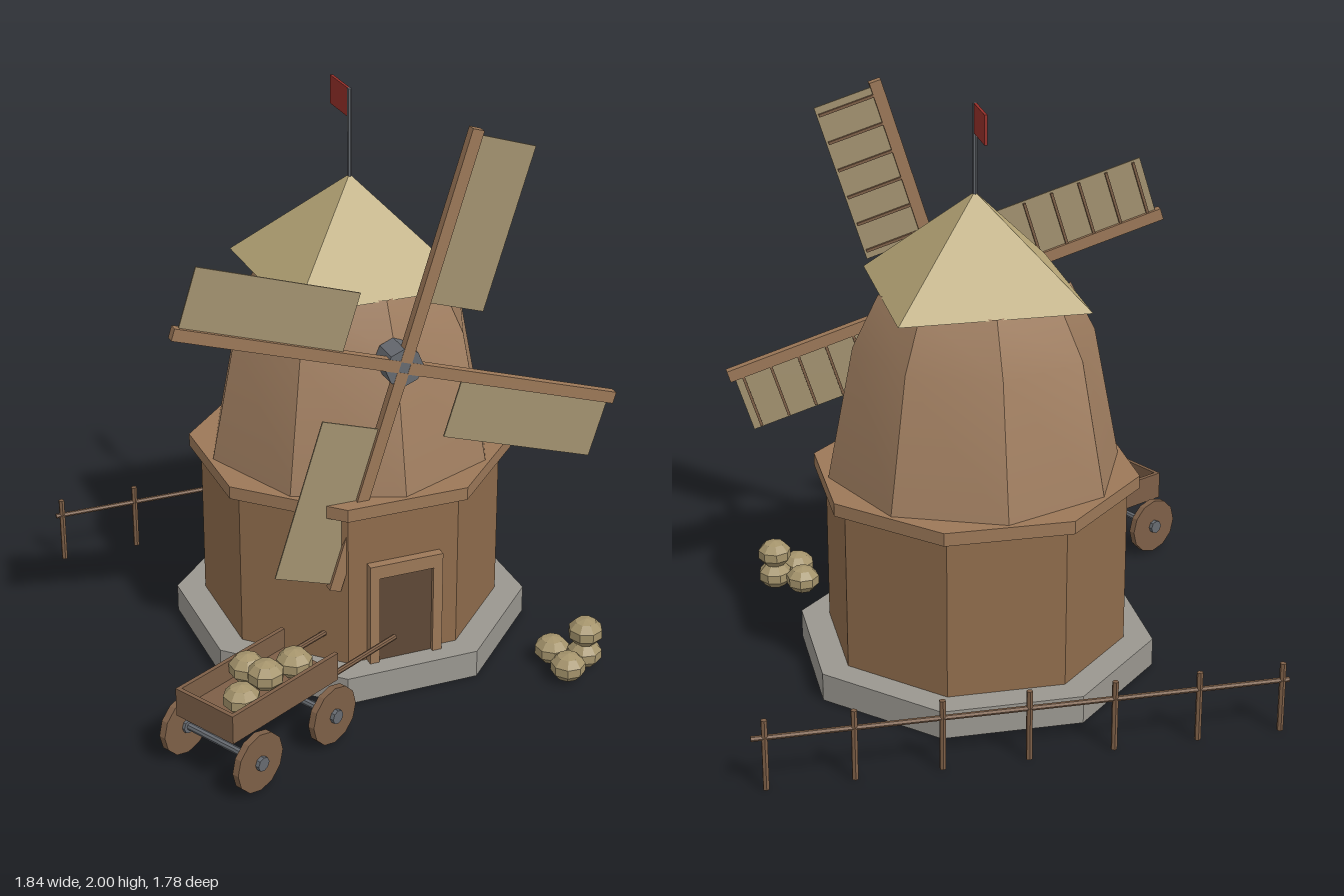
import * as THREE from 'three';
import { toCreasedNormals } from 'three/addons/utils/BufferGeometryUtils.js';

const paint = (color, extra = {}) => new THREE.MeshStandardMaterial({ color, flatShading: true, ...extra });
const MAT = {
  stone: paint(0x9a9790), wall: paint(0x8f6c4c), trim: paint(0x9c7858), wood: paint(0x7d5f47),
  darkWood: paint(0x5e4836), tower: paint(0xa07e60, { flatShading: false }), thatch: paint(0xb9a878),
  cloth: paint(0xa39270), sack: paint(0xa5946c), metal: paint(0x666a70), red: paint(0x96302a),
};

function add(parent, name, geometry, mat, x = 0, y = 0, z = 0) {
  const mesh = new THREE.Mesh(geometry, mat);
  mesh.name = name;
  mesh.position.set(x, y, z);
  parent.add(mesh);
  return mesh;
}

function group(parent, name, x = 0, y = 0, z = 0) {
  const g = new THREE.Group();
  g.name = name;
  g.position.set(x, y, z);
  parent.add(g);
  return g;
}

const box = (w, h, d) => new THREE.BoxGeometry(w, h, d);
const rod = (r, length, sides = 8) => new THREE.CylinderGeometry(r, r, length, sides);

// Octagonal slab with flat sides facing the axes, sized by half its width
const octagon = (half, height) => rod(half / Math.cos(Math.PI / 8), height).rotateY(Math.PI / 8);

function addSack(parent, x, y, z, turn) {
  const sack = add(parent, 'sack', new THREE.SphereGeometry(0.064, 8, 5), MAT.sack, x, y, z);
  sack.scale.y = 0.8;
  sack.rotation.y = turn;
}

function buildMill(root) {
  const mill = group(root, 'mill', 0.02, 0, -0.115);
  add(mill, 'stoneBase', octagon(0.585, 0.1), MAT.stone, 0, 0.05, 0);
  add(mill, 'lowerWall', octagon(0.49, 0.58), MAT.wall, 0, 0.39, 0);
  add(mill, 'ledge', octagon(0.528, 0.046), MAT.trim, 0, 0.697, 0);

  // Tapered upper tower, corners on the axes
  const profile = [[0.512, 0.72], [0.42, 1.185], [0.33, 1.365]].map(([r, y]) => new THREE.Vector2(r, y));
  add(mill, 'upperTower', toCreasedNormals(new THREE.LatheGeometry(profile, 8), 0.5), MAT.tower);

  // Square pyramid roof
  const roof = new THREE.ConeGeometry(0.323 * Math.SQRT2, 0.34, 4).rotateY(Math.PI / 4);
  add(mill, 'roof', roof, MAT.thatch, 0, 1.53, 0);
  add(mill, 'flagPole', rod(0.008, 0.32), MAT.metal, 0, 1.84, 0);
  add(mill, 'flag', box(0.01, 0.1, 0.16), MAT.red, 0, 1.95, -0.083);

  // Door set in a raised frame
  const door = group(mill, 'doorway', 0, 0, 0.49);
  add(door, 'door', box(0.2, 0.33, 0.03), MAT.darkWood, 0, 0.265, 0.003);
  for (const side of [-1, 1]) add(door, 'doorJamb', box(0.035, 0.38, 0.06), MAT.trim, side * 0.117, 0.29, 0.003);
  add(door, 'doorLintel', box(0.2, 0.05, 0.06), MAT.trim, 0, 0.455, 0.003);
}

function buildSails(root) {
  const rotor = group(root, 'sailRotor', 0.02, 1.185, 0.355);
  rotor.rotation.z = -0.305;
  add(rotor, 'hub', rod(0.068, 0.1).rotateX(Math.PI / 2), MAT.metal, 0, 0, -0.035).rotation.z = 0.305;

  for (let i = 0; i < 4; i++) {
    const blade = group(rotor, 'blade');
    blade.rotation.z = i * Math.PI / 2;
    add(blade, 'spar', box(0.042, 0.81, 0.032), MAT.trim, 0, 0.423, 0);
    add(blade, 'sailCloth', box(0.222, 0.58, 0.006), MAT.cloth, 0.116, 0.52, 0);
    // Battens behind the cloth
    for (let k = 0; k < 6; k++) {
      add(blade, 'batten', box(0.215, 0.01, 0.01), MAT.wood, 0.112, 0.26 + k * 0.104, -0.008);
    }
  }
}

function buildCart(root) {
  const cart = group(root, 'cart', -0.592, 0, 0.598);
  cart.rotation.y = 0.472;
  add(cart, 'cartFloor', box(0.505, 0.03, 0.255), MAT.wood, 0, 0.21, 0);
  add(cart, 'tailBoard', box(0.015, 0.075, 0.255), MAT.wood, -0.245, 0.26, 0);

  for (const side of [-1, 1]) {
    add(cart, 'sideBoard', box(0.505, 0.075, 0.015), MAT.wood, 0, 0.26, side * 0.12);
    add(cart, 'shaft', rod(0.01, 0.36).rotateZ(Math.PI / 2), MAT.wood, 0.4, 0.2, side * 0.1);
  }

  for (const end of [-1, 1]) {
    const x = end * 0.18;
    add(cart, 'axle', rod(0.013, 0.38).rotateX(Math.PI / 2), MAT.metal, x, 0.11, 0);
    for (const side of [-1, 1]) {
      add(cart, 'wheel', rod(0.105, 0.025, 12).rotateX(Math.PI / 2), MAT.wood, x, 0.11, side * 0.165);
      add(cart, 'wheelHub', rod(0.025, 0.05).rotateX(Math.PI / 2), MAT.metal, x, 0.11, side * 0.167);
    }
  }
}

function buildSacks(root) {
  const load = group(root, 'cartLoad');
  [[-0.605, 0.275, 0.53], [-0.45, 0.275, 0.56], [-0.685, 0.275, 0.7], [-0.59, 0.325, 0.67]]
    .forEach((p, i) => addSack(load, ...p, 0.47 + i * 0.1));

  const pile = group(root, 'sackPile');
  [[0.55, 0.051, 0.48], [0.55, 0.051, 0.605], [0.645, 0.051, 0.545], [0.645, 0.137, 0.545]]
    .forEach((p, i) => addSack(pile, ...p, [0.5, 1.1, 0.2, 0][i]));
}

function buildFence(root) {
  const fence = group(root, 'fence', 0.02, 0, -0.885);
  add(fence, 'rail', rod(0.009, 1.79, 6).rotateZ(Math.PI / 2), MAT.wood, 0, 0.187, 0);
  for (let i = -3; i <= 3; i++) add(fence, 'post', rod(0.011, 0.25, 6), MAT.wood, i * 0.287 - 0.01, 0.125, 0);
}

export function createModel() {
  const root = new THREE.Group();
  root.name = 'windmillYard';
  buildMill(root);
  buildSails(root);
  buildCart(root);
  buildSacks(root);
  buildFence(root);
  return root;
}
